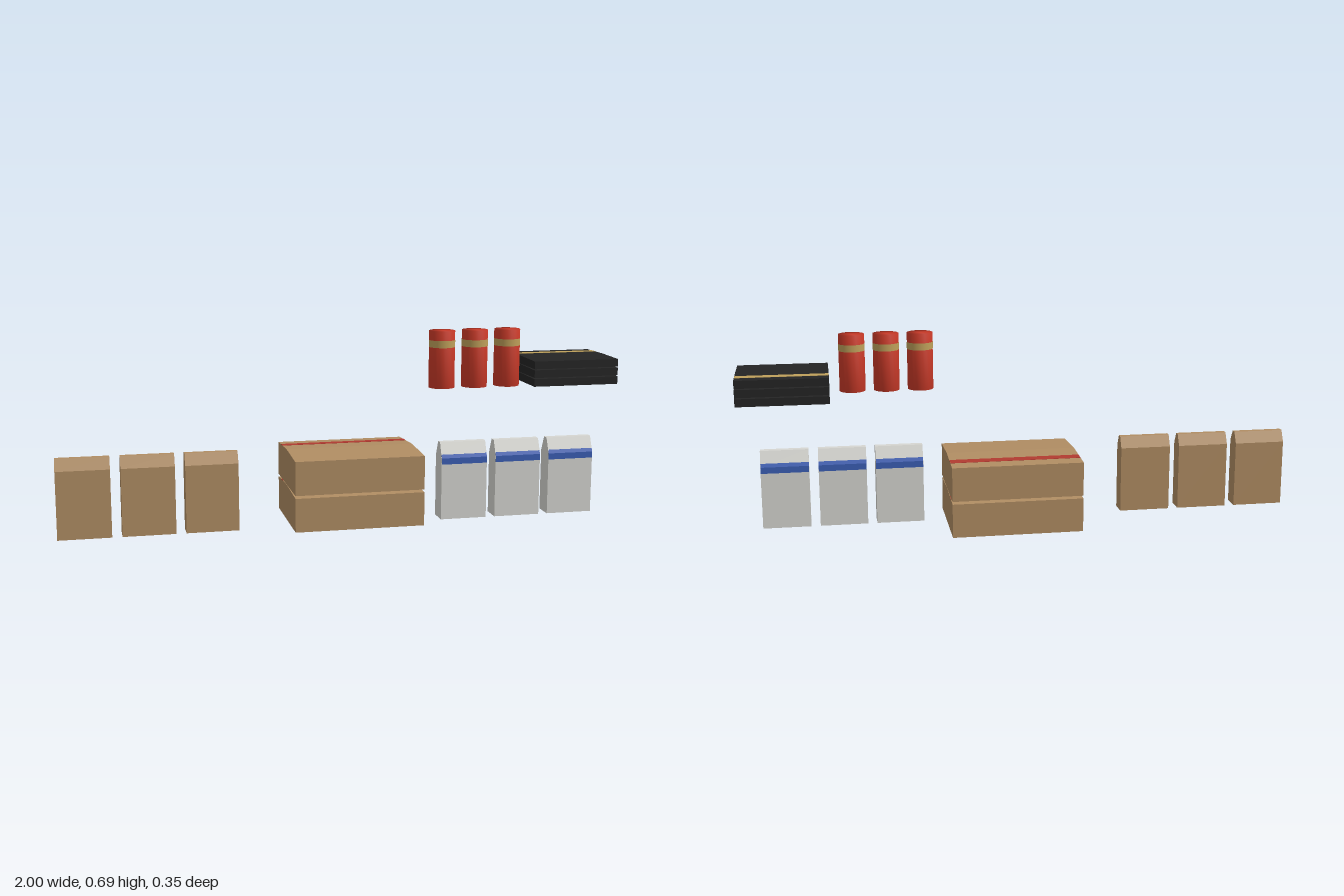
import * as THREE from 'three';

const mat = (name, color) => {
  const m = new THREE.MeshStandardMaterial({ color });
  m.name = name;
  return m;
};

export function createModel() {
  const model = new THREE.Group();
  model.name = 'takeawayPackaging';
  const kraft = mat('kraft paper', 0xb08d63);
  const white = mat('white paper', 0xd6d6d1);
  const blue = mat('blue band', 0x3a5eb5);
  const black = mat('black card', 0x242424);
  const gold = mat('gold trim', 0xbfa05a);
  const canRed = mat('can red', 0xcb3a28);
  const tapeRed = mat('tape red', 0xb03a30);

  const add = (parent, name, geo, material) => {
    const mesh = new THREE.Mesh(geo, material);
    mesh.name = name;
    parent.add(mesh);
    return mesh;
  };
  const group = (name) => {
    const g = new THREE.Group();
    g.name = name;
    model.add(g);
    return g;
  };
  // Extrudes a [z, y] outline along x from x0 to x1
  const prism = (points, x0, x1) => {
    const shape = new THREE.Shape(points.map(([z, y]) => new THREE.Vector2(-z, y)));
    return new THREE.ExtrudeGeometry(shape, { depth: x1 - x0, bevelEnabled: false })
      .rotateY(Math.PI / 2).translate(x0, 0, 0);
  };

  // Paper bag with tapered top
  const bagOutline = (z, half, shoulder, topHalf, top) => [
    [z - half, 0], [z + half, 0], [z + half, shoulder],
    [z + topHalf, top], [z - topHalf, top], [z - half, shoulder],
  ];

  // Kraft bags
  for (const x of [-1, -0.78, -0.56]) {
    const bag = group('kraftBag');
    add(bag, 'bagBody', prism(bagOutline(0.07, 0.032, 0.24, 0.01, 0.28), x, x + 0.185), kraft);
  }

  // White bags with a blue band wrapping the shoulder, front and back
  for (const x of [0.357, 0.56, 0.763]) {
    const bag = group('whiteBag');
    const z = 0.075;
    add(bag, 'bagBody', prism(bagOutline(z, 0.037, 0.225, 0.012, 0.28), x, x + 0.17), white);
    for (const s of [-1, 1]) {
      const band = [[0.036, 0.203], [0.038, 0.203], [0.038, 0.2255], [0.0323, 0.238], [0.0303, 0.238], [0.036, 0.225]];
      add(bag, s > 0 ? 'frontBand' : 'backBand',
        prism(band.map(([d, y]) => [z + s * d, y]), x + 0.0005, x + 0.1695), blue);
    }
  }

  // Shallow ridged carton with a stripe laid on the rear slope
  const carton = (name, o) => {
    const g = group(name);
    const zc = (o.z0 + o.z1) / 2;
    const half = (o.z1 - o.z0) / 2;
    const topAt = (z) => o.ridge - (o.ridge - o.edge) * Math.abs(z - zc) / half;
    add(g, 'cartonBody', prism([
      [o.z0, o.base], [o.z1, o.base], [o.z1, o.edge], [zc, o.ridge], [o.z0, o.edge],
    ], o.x0, o.x1), o.material);
    const [a, b] = o.stripe;
    add(g, 'cartonStripe', prism([
      [a, topAt(a) - 0.001], [b, topAt(b) - 0.001], [b, topAt(b) + 0.0008], [a, topAt(a) + 0.0008],
    ], o.x0 + 0.0005, o.x1 - 0.0005), o.stripeMaterial);
  };

  // Two large cartons
  for (const base of [0, 0.131]) {
    carton('largeCarton', {
      x0: -0.188, x1: 0.276, z0: -0.175, z1: 0.175, base, edge: base + 0.121, ridge: base + 0.13,
      material: kraft, stripe: [-0.12, -0.084], stripeMaterial: tapeRed,
    });
  }

  // Three flat black cartons
  for (const base of [0.482, 0.5135, 0.545]) {
    carton('flatCarton', {
      x0: 0.683, x1: 1, z0: -0.12, z1: 0.157, base, edge: base + 0.0275, ridge: base + 0.0295,
      material: black, stripe: [-0.079, -0.046], stripeMaterial: gold,
    });
  }

  // Drink cans with a gold band
  for (const x of [0.357, 0.478, 0.599]) {
    const can = group('can');
    can.position.set(x, 0.482, 0.092);
    const r = 0.046;
    const h = 0.203;
    const profile = [[0, 0], [r, 0], [r, h], [0, h]].map(([px, py]) => new THREE.Vector2(px, py));
    add(can, 'canBody', new THREE.LatheGeometry(profile, 20), canRed);
    add(can, 'canBand', new THREE.CylinderGeometry(r + 0.0006, r + 0.0006, 0.025, 20, 1, true), gold)
      .position.y = 0.1575;
  }

  return model;
}
